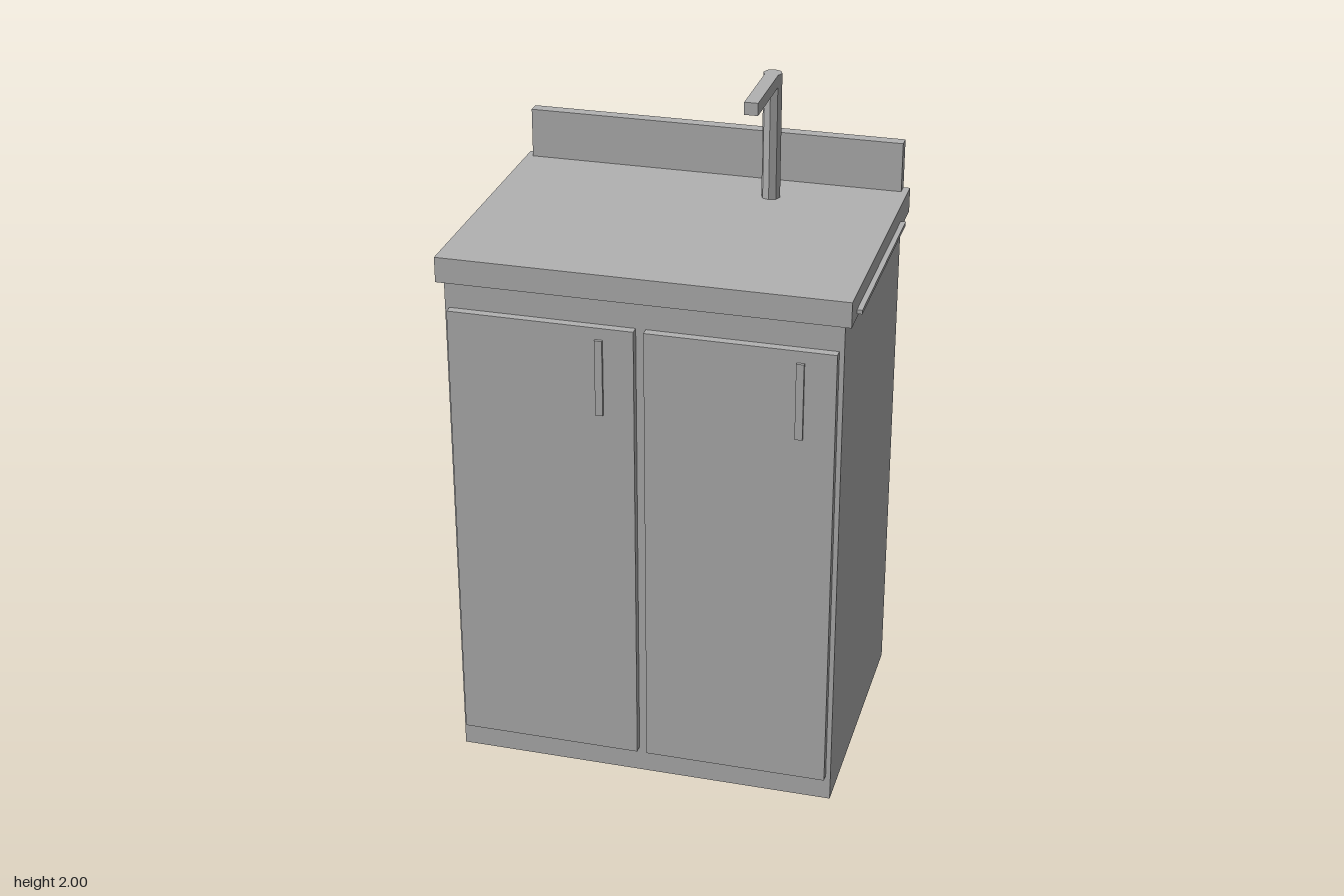
import * as THREE from 'three';

export function createModel() {
  const model = new THREE.Group();
  model.name = 'sinkCabinet';
  const grey = new THREE.MeshStandardMaterial({ color: 0xb2b2b2 });
  grey.name = 'plain grey';
  grey.flatShading = true;

  // Adds a box given its extents along each axis
  function box(name, [x0, x1], [y0, y1], [z0, z1]) {
    const mesh = new THREE.Mesh(new THREE.BoxGeometry(x1 - x0, y1 - y0, z1 - z0), grey);
    mesh.position.set((x0 + x1) / 2, (y0 + y1) / 2, (z0 + z1) / 2);
    mesh.name = name;
    model.add(mesh);
  }

  // Cabinet body, worktop and splashback
  box('cabinet', [-0.58, 0.56], [0, 1.545], [-0.415, 0.402]);
  box('worktop', [-0.6, 0.58], [1.545, 1.62], [-0.437, 0.418]);
  box('splashback', [-0.58, 0.56], [1.62, 1.77], [-0.437, -0.4]);

  // Two doors, each with an upright handle
  const doors = [
    { side: 'right', span: [-0.567, -0.025], handleX: -0.124 },
    { side: 'left', span: [0.004, 0.546], handleX: 0.446 },
  ];
  for (const { side, span, handleX } of doors) {
    box(side + 'Door', span, [0.08, 1.465], [0.402, 0.428]);
    box(side + 'Handle', [handleX - 0.011, handleX + 0.011], [1.2, 1.43], [0.428, 0.437]);
  }

  // Thin rail on the side of the worktop
  box('sideRail', [0.58, 0.595], [1.558, 1.57], [-0.295, 0.35]);

  // Tap: eight-sided post and square spout
  const post = new THREE.Mesh(new THREE.CylinderGeometry(0.028, 0.028, 0.38, 8), grey);
  post.position.set(0.197, 1.81, -0.265);
  post.name = 'tapPost';
  model.add(post);
  box('tapSpout', [0.177, 0.217], [1.963, 2], [-0.265, 0]);

  return model;
}
